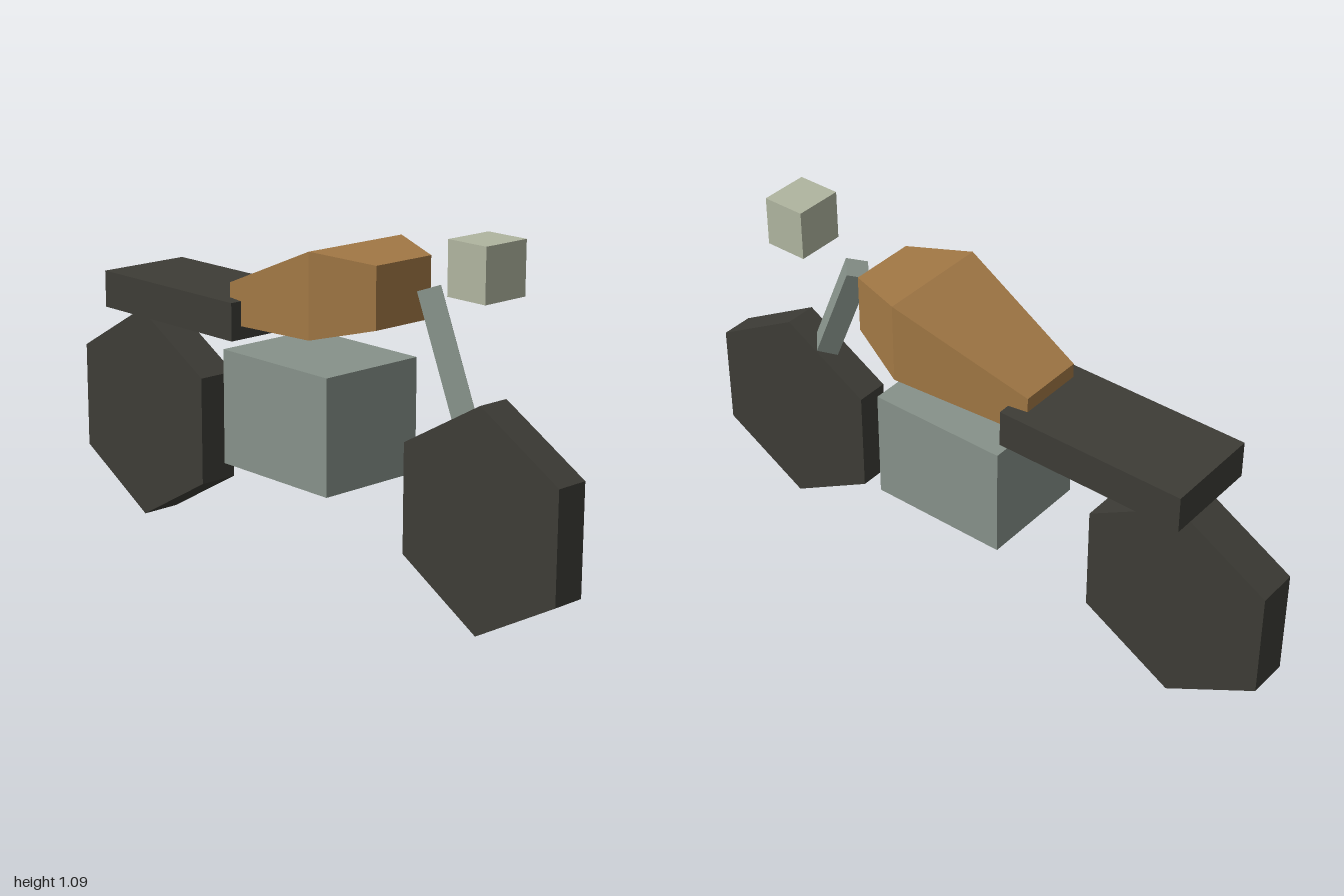
import * as THREE from 'three';

const mat = (name, color) => {
  const m = new THREE.MeshStandardMaterial({ color });
  m.name = name;
  return m;
};

// Lofts rectangular sections [z, halfWidth, yLow, yHigh], listed front to back
function loftGeometry(sections) {
  const rings = sections.map(([z, w, lo, hi]) => [[-w, lo, z], [w, lo, z], [w, hi, z], [-w, hi, z]]);
  const pos = [];
  const quad = (a, b, c, d) => pos.push(...a, ...b, ...c, ...a, ...c, ...d);
  for (let i = 0; i < rings.length - 1; i++) {
    const f = rings[i], r = rings[i + 1];
    for (let j = 0; j < 4; j++) {
      const k = (j + 1) % 4;
      quad(f[j], r[j], r[k], f[k]);
    }
  }
  const last = rings[rings.length - 1];
  quad(...rings[0]);
  quad(last[3], last[2], last[1], last[0]);
  const geo = new THREE.BufferGeometry();
  geo.setAttribute('position', new THREE.Float32BufferAttribute(pos, 3));
  geo.computeVertexNormals();
  return geo;
}

export function createModel() {
  const model = new THREE.Group();
  model.name = 'motorcycle';
  const dark = mat('darkRubber', 0x3d3c36);
  const steel = mat('greySteel', 0x87928a);
  const paint = mat('brownPaint', 0xa27845);
  const glass = mat('paleLamp', 0xb0b5a0);
  for (const m of [dark, steel, paint, glass]) m.flatShading = true;

  const add = (name, geo, material, x, y, z) => {
    const mesh = new THREE.Mesh(geo, material);
    mesh.name = name;
    mesh.position.set(x, y, z);
    model.add(mesh);
    return mesh;
  };

  // Six-sided wheels, each with a corner pointing straight up
  const wheel = (name, r, width, y, z) => {
    const geo = new THREE.CylinderGeometry(r, r, width, 6, 1, false, Math.PI / 6).rotateZ(Math.PI / 2);
    add(name, geo, dark, 0, y, z);
  };
  wheel('frontWheel', 0.325, 0.102, 0.33, 0.72);
  wheel('rearWheel', 0.335, 0.125, 0.336, -0.71);

  // Engine, seat and headlight blocks
  add('engine', new THREE.BoxGeometry(0.35, 0.345, 0.44), steel, 0, 0.488, 0.04);
  add('seat', new THREE.BoxGeometry(0.304, 0.114, 0.6), dark, 0, 0.738, -0.47);
  add('headlight', new THREE.BoxGeometry(0.153, 0.154, 0.136), glass, 0, 1.013, 0.686);

  // Four-sided fork, leaning back from the front axle
  const fork = add('fork', new THREE.CylinderGeometry(0.047, 0.047, 0.64, 4), steel, 0, 0.627, 0.6);
  fork.rotation.x = -0.395;

  // Tank, widest near the front and tapering to the seat
  const tank = loftGeometry([[0.38, 0.105, 0.805, 0.985], [0.19, 0.178, 0.755, 1.005], [-0.23, 0.105, 0.715, 0.84]]);
  add('tank', tank, paint, 0, 0, 0);

  return model;
}
